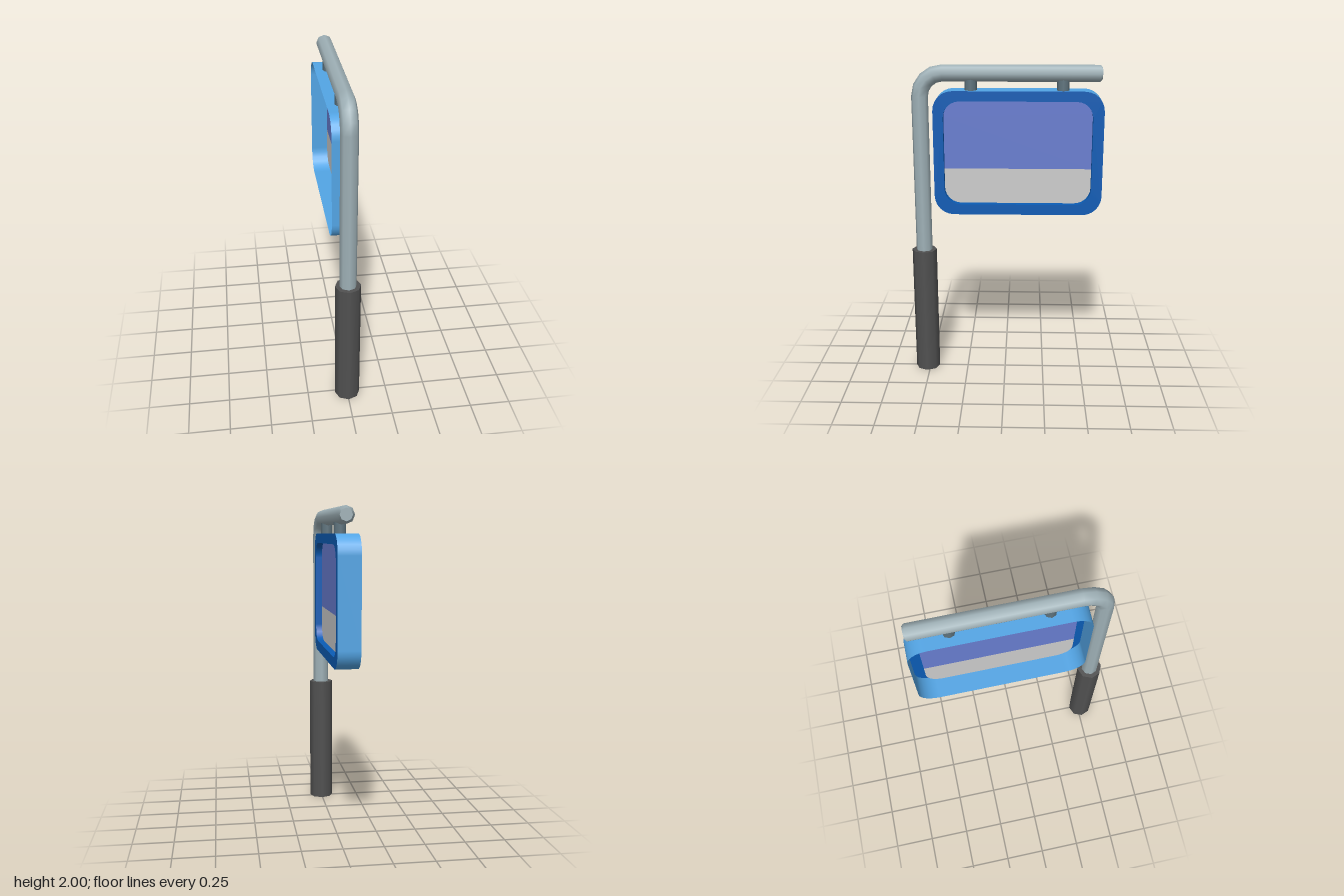
import * as THREE from 'three';

const paint = (name, color, side = THREE.FrontSide) => {
  const m = new THREE.MeshStandardMaterial({ color, side });
  m.name = name;
  return m;
};

// Rounded rectangle, counter-clockwise, as points with outward normals
function outline(u0, u1, v0, v1, r, seg = 6) {
  const corners = [[u1 - r, v1 - r], [u0 + r, v1 - r], [u0 + r, v0 + r], [u1 - r, v0 + r]];
  const list = [];
  corners.forEach(([cu, cv], k) => {
    for (let i = 0; i <= seg; i++) {
      const a = (k + i / seg) * Math.PI / 2;
      const n = new THREE.Vector2(Math.cos(a), Math.sin(a));
      list.push({ n, p: new THREE.Vector2(cu + r * n.x, cv + r * n.y) });
    }
  });
  return list;
}

// Open wall following an outline between two depths
function wall(loop, d0, d1) {
  const pos = [], nor = [], idx = [];
  const count = loop.length;
  loop.forEach(({ p, n }, i) => {
    pos.push(p.x, p.y, d0, p.x, p.y, d1);
    nor.push(n.x, n.y, 0, n.x, n.y, 0);
    const a = 2 * i, b = 2 * ((i + 1) % count);
    idx.push(a, b, b + 1, a, b + 1, a + 1);
  });
  const g = new THREE.BufferGeometry();
  g.setAttribute('position', new THREE.Float32BufferAttribute(pos, 3));
  g.setAttribute('normal', new THREE.Float32BufferAttribute(nor, 3));
  g.setIndex(idx);
  return g;
}

// Eight-sided pipe through stations [z, y, tilt, radius], listed from its far end
function pipe(stations) {
  const g = new THREE.CylinderGeometry(1, 1, 1, 8, stations.length - 1, true);
  const { position: pos, normal: nor } = g.attributes;
  for (let i = 0; i < pos.count; i++) {
    const [z, y, tilt, r] = stations[Math.floor(i / 9)];
    const sx = pos.getX(i), sz = pos.getZ(i);
    const ny = sz * Math.sin(tilt), nz = sz * Math.cos(tilt);
    pos.setXYZ(i, sx * r, y + ny * r, z + nz * r);
    nor.setXYZ(i, sx, ny, nz);
  }
  return g;
}

export function createModel() {
  const model = new THREE.Group();
  model.name = 'hangingSign';

  const darkGrey = paint('darkGrey', 0x515151);
  const steel = paint('steel', 0x9fb1b7);
  const slate = paint('slate', 0x5f747e);
  const lightBlue = paint('lightBlue', 0x53a5e5, THREE.DoubleSide);
  const deepBlue = paint('deepBlue', 0x0b5cb5, THREE.DoubleSide);
  const periwinkle = paint('periwinkle', 0x687dd0, THREE.DoubleSide);
  const paleGrey = paint('paleGrey', 0xcccccc, THREE.DoubleSide);

  const add = (name, geometry, material, parent = model) => {
    const mesh = new THREE.Mesh(geometry, material);
    mesh.name = name;
    parent.add(mesh);
    return mesh;
  };

  // Base sleeve
  const poleZ = 0.517;
  add('baseSleeve', new THREE.CylinderGeometry(0.078, 0.078, 0.83, 8), darkGrey)
    .position.set(0, 0.415, poleZ);

  // Bent pole: arm end with small bevel, arm, elbow, upright
  const r = 0.051, bend = 0.14, armY = 1.949, endZ = -0.58;
  const stations = [
    [endZ, armY, Math.PI / 2, 0.037],
    [endZ + 0.013, armY, Math.PI / 2, r],
  ];
  for (let i = 4; i >= 0; i--) {
    const a = i / 4 * Math.PI / 2;
    stations.push([poleZ - bend + bend * Math.cos(a), armY - bend + bend * Math.sin(a), a, r]);
  }
  stations.push([poleZ, 0.8, 0, r]);
  add('bentPole', pipe(stations), steel);
  const cap = add('armEndCap', new THREE.CircleGeometry(0.037, 8), steel);
  cap.rotation.set(0, Math.PI, 0);
  cap.position.set(0, armY, endZ);

  // Hangers between arm and sign
  for (const z of [0.207, -0.347]) {
    add('hanger', new THREE.CylinderGeometry(0.037, 0.037, 0.1, 8), slate)
      .position.set(0, 1.885, z);
  }

  // Sign, drawn facing +z and turned to face +x
  const sign = new THREE.Group();
  sign.name = 'sign';
  sign.rotation.y = Math.PI / 2;
  model.add(sign);
  const front = 0.05, back = -0.085, panelDepth = 0.01;
  const outer = outline(-0.437, 0.597, 1.08, 1.848, 0.12);
  const inner = outline(-0.375, 0.53, 1.145, 1.787, 0.1);
  const points = (loop) => loop.map(({ p }) => p);

  add('signRim', wall(outer, back, front), lightBlue, sign);
  const face = new THREE.Shape(points(outer));
  face.holes.push(new THREE.Path(points(inner)));
  add('signFrame', new THREE.ShapeGeometry(face), deepBlue, sign).position.z = front;
  add('frameRecess', wall(inner, panelDepth, front), deepBlue, sign);

  // Two-tone panel, split along a level line
  const split = 1.365, half = inner.length / 2;
  const leftEnd = new THREE.Vector2(-0.375, split), rightEnd = new THREE.Vector2(0.53, split);
  const upper = [rightEnd, ...points(inner.slice(0, half)), leftEnd];
  const lower = [leftEnd, ...points(inner.slice(half)), rightEnd];
  for (const [name, pts, mat] of [['upperPanel', upper, periwinkle], ['lowerPanel', lower, paleGrey]]) {
    add(name, new THREE.ShapeGeometry(new THREE.Shape(pts)), mat, sign).position.z = panelDepth;
  }

  return model;
}
